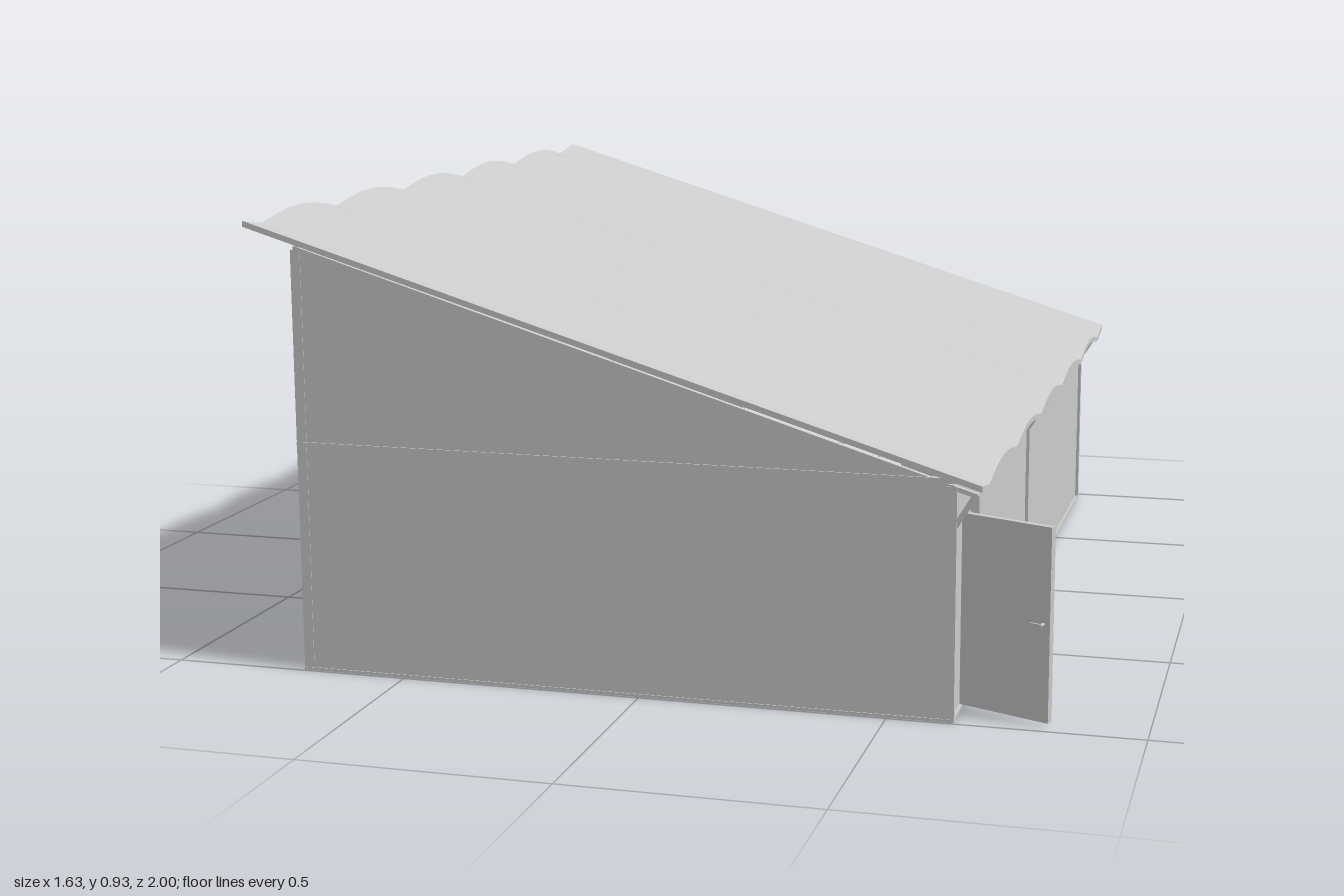
import * as THREE from 'three';
import { toCreasedNormals } from 'three/addons/utils/BufferGeometryUtils.js';

const SLOPE = 0.305, X0 = -0.72, X1 = 0.63, Z0 = -0.97, Z1 = 0.995, RAIL = 0.475;
// height of the roof's lowest underside at a given x
const underRoof = (x) => 0.9 - SLOPE * (x + 0.82);
const grey = new THREE.MeshStandardMaterial({ color: 0xcccccc, side: THREE.DoubleSide });

function add(parent, name, geometry, x = 0, y = 0, z = 0) {
  const mesh = new THREE.Mesh(geometry, grey);
  mesh.name = name;
  mesh.position.set(x, y, z);
  parent.add(mesh);
  return mesh;
}

// box given by its lower and upper bounds
function block(parent, name, [ax, bx], [ay, by], [az, bz]) {
  return add(parent, name, new THREE.BoxGeometry(bx - ax, by - ay, bz - az),
    (ax + bx) / 2, (ay + by) / 2, (az + bz) / 2);
}

function prism(points, depth) {
  const shape = new THREE.Shape(points.map(([x, y]) => new THREE.Vector2(x, y)));
  return new THREE.ExtrudeGeometry(shape, { depth, bevelEnabled: false });
}

// corrugated sheet: rounded crests meeting in shallow valleys
function roofGeometry() {
  const top = [], bottom = [], n = 120;
  for (let i = 0; i <= n; i++) {
    const z = 1 - (2 * i) / n;
    const y = 0.9 + 0.021 * Math.abs(Math.sin((Math.PI * (z - 0.92)) / 0.362));
    bottom.push([-z, y]);
    top.unshift([-z, y + 0.012]);
  }
  const geo = prism([...bottom, ...top], 1.5).rotateY(Math.PI / 2);
  const p = geo.attributes.position;
  for (let i = 0; i < p.count; i++) p.setY(i, p.getY(i) - SLOPE * p.getX(i));
  return toCreasedNormals(geo, 0.6);
}

export function createModel() {
  const model = new THREE.Group();
  model.name = 'shed';

  add(model, 'roof', roofGeometry(), -0.82, 0, 0);
  block(model, 'floor', [X0, X1], [0, 0.006], [Z0, Z1]);

  // gable walls, the back one with a gateway
  const gableTop = [[X1 - 0.01, underRoof(X1) + 0.008], [X0 + 0.005, underRoof(X0) + 0.008]];
  add(model, 'frontWall', prism([[X0 + 0.005, 0], [X1 - 0.01, 0], ...gableTop], 0.012), 0, 0, Z1 - 0.014);
  const [gx0, gx1, gy] = [-0.32, 0.15, 0.44];
  add(model, 'backWall', prism([[X0 + 0.005, 0], [gx0, 0], [gx0, gy], [gx1, gy], [gx1, 0],
    [X1 - 0.01, 0], ...gableTop], 0.012), 0, 0, Z0 + 0.004);

  // side walls, the low one with a doorway (profile runs along -z)
  block(model, 'tallWall', [X0 + 0.004, X0 + 0.016], [0, underRoof(X0) + 0.008], [Z0 + 0.004, Z1 - 0.004]);
  const [dz0, dz1, dy] = [0.70, 0.89, 0.39], low = underRoof(X1) + 0.008;
  add(model, 'lowWall', prism([[-Z1 + 0.004, 0], [-dz1, 0], [-dz1, dy], [-dz0, dy], [-dz0, 0],
    [-Z0 - 0.004, 0], [-Z0 - 0.004, low], [-Z1 + 0.004, low]], 0.012).rotateY(Math.PI / 2), X1 - 0.018);

  // columns, rafters and eave brackets in three frames
  for (const z of [Z1 - 0.008, 0.015, Z0 + 0.008]) {
    const span = [z - 0.007, z + 0.007];
    block(model, 'tallColumn', [X0 - 0.001, X0 + 0.02], [0, underRoof(X0)], span);
    block(model, 'lowColumn', [X1 - 0.02, X1 + 0.001], [0, underRoof(X1) + 0.005], span);
    const a = X0 + 0.01, b = 0.67;
    add(model, 'rafter', prism([[a, underRoof(a) - 0.014], [b, underRoof(b) - 0.004],
      [b, underRoof(b) + 0.005], [a, underRoof(a) + 0.005]], 0.01), 0, 0, z - 0.005);
    add(model, 'eaveBracket', prism([[X1, 0.38], [0.672, 0.447], [0.66, 0.45], [X1, 0.4]], 0.008), 0, 0, z - 0.004);
  }

  // horizontal rails
  block(model, 'frontRail', [X0, X1], [RAIL - 0.006, RAIL + 0.004], [Z1 - 0.012, Z1 + 0.001]);
  block(model, 'backRail', [X0, 0.6], [RAIL - 0.006, RAIL + 0.004], [Z0 - 0.001, Z0 + 0.012]);
  block(model, 'tallRail', [X0 - 0.001, X0 + 0.012], [RAIL - 0.006, RAIL + 0.004], [Z0, Z1]);

  // doorway frame and open door leaf
  const dx = [X1 - 0.02, X1 - 0.002];
  block(model, 'doorJamb', dx, [0, dy], [dz0, dz0 + 0.008]);
  block(model, 'doorJamb', dx, [0, dy], [dz1 - 0.008, dz1]);
  block(model, 'doorHead', dx, [dy - 0.008, dy], [dz0, dz1]);
  const door = new THREE.Group();
  door.name = 'door';
  door.position.set(X1 - 0.002, 0, dz1 - 0.002);
  door.rotation.y = -Math.atan2(0.075, 0.18);
  model.add(door);
  block(door, 'doorLeaf', [0, 0.198], [0.006, 0.39], [-0.007, 0.007]);
  for (const s of [-1, 1]) {
    add(door, 'doorHandleStem', new THREE.CylinderGeometry(0.003, 0.003, 0.014, 10).rotateX(Math.PI / 2), 0.184, 0.2, s * 0.012);
    add(door, 'doorHandle', new THREE.BoxGeometry(0.025, 0.005, 0.004), 0.174, 0.2, s * 0.019);
  }

  // gateway frame with the raised sectional gate
  const gz = [Z0 - 0.004, Z0 + 0.018];
  for (const x of [gx0, gx1]) {
    block(model, 'gatePost', [x - 0.009, x + 0.009], [0, gy + 0.018], gz);
    block(model, 'gateTrack', [x - 0.006, x + 0.006], [0.415, 0.428], [Z0 + 0.02, -0.5]);
  }
  block(model, 'gateLintel', [gx0 - 0.009, gx1 + 0.009], [gy, gy + 0.018], gz);
  block(model, 'gateLowerPanel', [gx0, gx1], [0.345, 0.425], [Z0 + 0.006, Z0 + 0.018]);
  for (let i = 0; i < 4; i++) {
    const z = Z0 + 0.02 + i * 0.105;
    block(model, 'gateRaisedPanel', [gx0, gx1], [0.422, 0.432], [z, z + 0.102]);
  }
  block(model, 'gateLatch', [-0.11, -0.06], [0.36, 0.37], [Z0 - 0.008, Z0 + 0.008]);
  block(model, 'gateHandle', [-0.03, 0.02], [0.36, 0.368], [Z0 - 0.006, Z0 + 0.008]);

  // control box with its conduit
  block(model, 'controlBox', [-0.425, -0.365], [0.215, 0.305], [Z0 - 0.014, Z0 + 0.006]);
  add(model, 'conduit', new THREE.CylinderGeometry(0.004, 0.004, 0.11, 10), -0.395, 0.36, Z0);

  return model;
}
